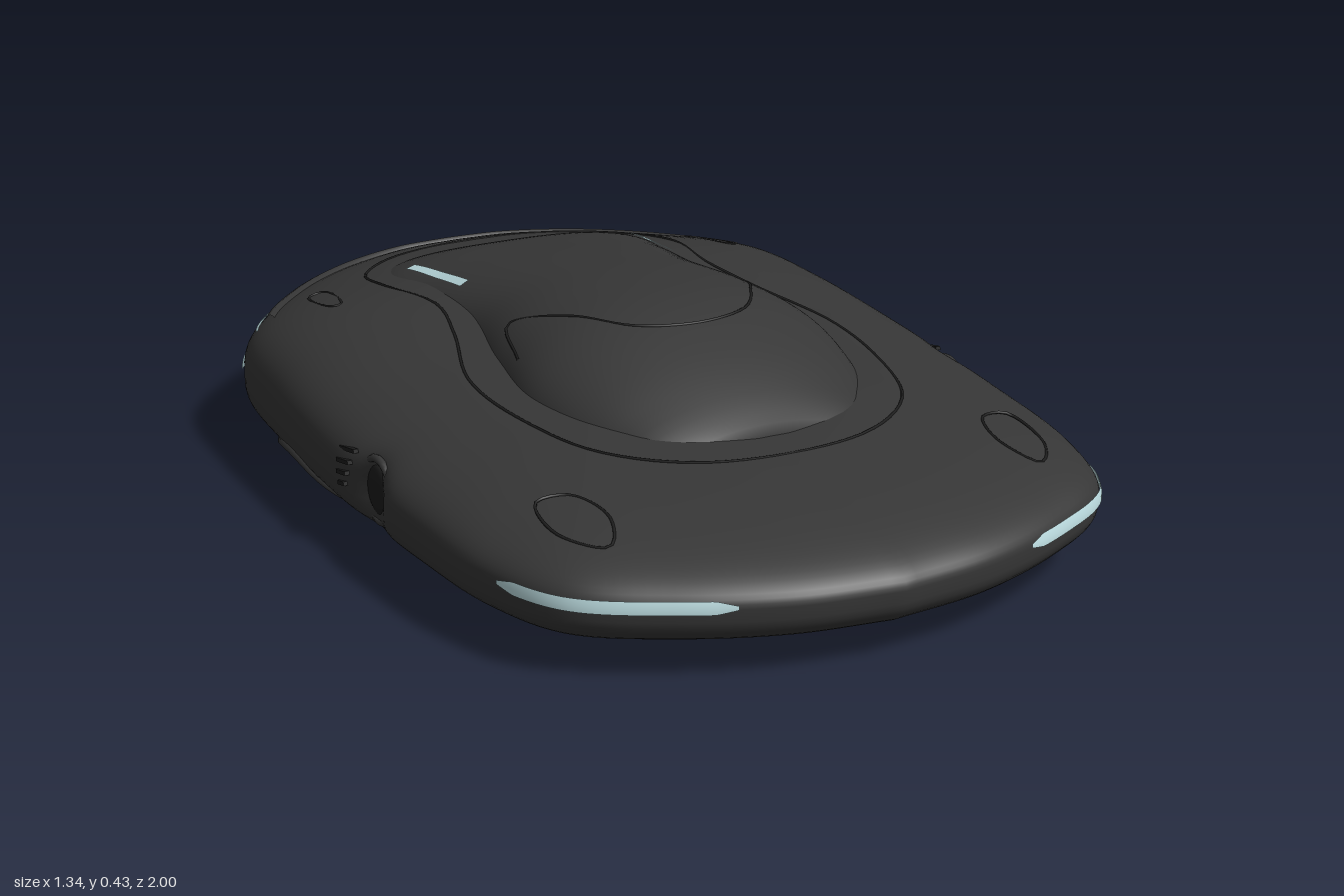
import * as THREE from 'three';

const material = (name, color, side = THREE.FrontSide) => {
  const m = new THREE.MeshStandardMaterial({ color, side });
  m.name = name;
  return m;
};
const paint = material('charcoal body', 0x363636);
const dark = material('dark seam', 0x1c1c1c);
const teal = material('teal thruster', 0x2a4a55);
const glow = material('pale light', 0xbcdce0, THREE.DoubleSide);

// Smooth interpolation through [position, value] pairs
function smooth(pairs) {
  const c = new THREE.CubicInterpolant(pairs.map(p => p[0]), pairs.map(p => p[1]), 1);
  return t => c.evaluate(t)[0];
}

// Quad grid from a rule; optionally closed in u
function grid(nu, nv, rule, closed = false) {
  const pos = [], index = [], cols = closed ? nu : nu + 1;
  for (let j = 0; j <= nv; j++)
    for (let i = 0; i < cols; i++) pos.push(...rule(i / nu, j / nv));
  for (let j = 0; j < nv; j++)
    for (let i = 0; i < nu; i++) {
      const a = j * cols + i, b = j * cols + (i + 1) % cols, c = a + cols, d = b + cols;
      index.push(a, c, b, b, c, d);
    }
  const g = new THREE.BufferGeometry();
  g.setAttribute('position', new THREE.Float32BufferAttribute(pos, 3));
  g.setIndex(index);
  g.computeVertexNormals();
  return g;
}

// Plan outline of the hull, as a radius for each heading
const half = [[0, 1], [.2, .97], [.4, .89], [.56, .78], [.63, .6], [.655, .35], [.665, 0],
  [.65, -.35], [.61, -.62], [.47, -.8], [.3, -.925], [.13, -.99], [0, -1]];
const outline = new THREE.CatmullRomCurve3(half.map(([x, z]) => new THREE.Vector3(x, 0, z))).getPoints(200);
function radius(angle) {
  const a = Math.abs(Math.atan2(Math.sin(angle), Math.cos(angle)));
  for (let i = 1; i < outline.length; i++) {
    const p = outline[i - 1], q = outline[i];
    const a0 = Math.atan2(p.x, p.z), a1 = Math.atan2(q.x, q.z);
    if (a <= a1) return THREE.MathUtils.lerp(p.length(), q.length(), (a - a0) / (a1 - a0));
  }
  return 1;
}

// Hull height rules
const WAIST = .14;
const rise = smooth([[-1, .2], [-.7, .2], [-.4, .212], [0, .182], [.5, .15], [1, .14]]);
const power = z => 2.5 - .4 * z;
const arc = (k, n) => Math.pow(Math.max(0, 1 - Math.pow(Math.min(1, k), n)), 1 / n);
const hullTop = (x, z) => WAIST + rise(z) * arc(Math.hypot(x, z) / radius(Math.atan2(x, z)), power(z));
function hullPoint(angle, y, out = 0) {
  const r = radius(angle), z = r * Math.cos(angle);
  const k = y > WAIST ? arc((y - WAIST) / rise(z), power(z)) : arc((WAIST - y) / .135, 3.2);
  return [Math.sin(angle) * (r * k + out), y, Math.cos(angle) * (r * k + out)];
}

// Cabin rules
const cabinWidth = smooth([[-.82, .05], [-.75, .22], [-.6, .33], [-.4, .32], [-.2, .3], [0, .33],
  [.2, .345], [.4, .28], [.5, .19], [.55, .05]]);
const cabinRoof = smooth([[-.82, .27], [-.6, .345], [-.4, .385], [-.2, .415], [0, .433],
  [.15, .428], [.3, .385], [.45, .32], [.55, .26]]);
const cabinPower = z => 2.3 - .8 * z;
const cabinTop = (x, z) => z < -.82 || z > .55 ? 0 :
  .24 + (cabinRoof(z) - .24) * arc(Math.abs(x) / cabinWidth(z), cabinPower(z));

export function createModel() {
  const model = new THREE.Group();
  const add = (name, geometry, mat, parent = model) => {
    const mesh = new THREE.Mesh(geometry, mat);
    mesh.name = name;
    parent.add(mesh);
    return mesh;
  };
  const tube = (name, points, r, mat, closed = false) => add(name, new THREE.TubeGeometry(
    new THREE.CatmullRomCurve3(points.map(p => new THREE.Vector3(...p)), closed), points.length * 6, r, 6, closed), mat);
  const seam = (name, plan, closed) => tube(name,
    plan.map(([x, z]) => [x, Math.max(hullTop(x, z), cabinTop(x, z)), z]), .003, dark, closed);

  // Hull, with a scooped intake in each flank
  add('hull', grid(240, 64, (u, v) => {
    const t = u * Math.PI * 2, a = v * Math.PI, k = Math.sin(a), r = radius(t) * k;
    let x = r * Math.sin(t);
    const z = r * Math.cos(t);
    const y = v <= .5 ? WAIST + rise(z) * arc(k, power(z)) : WAIST - .135 * arc(k, 3.2);
    if (Math.abs(x) > .4)
      x -= Math.sign(x) * .04 * Math.exp(-(((z - .14) / .06) ** 2) - ((y - .14) / .06) ** 2);
    return [x, y, z];
  }, true), paint);

  // Cabin dome
  add('cabin', grid(48, 60, (u, v) => {
    const z = -.82 + v * 1.37, x = -Math.cos(u * Math.PI) * cabinWidth(z);
    return [x, cabinTop(x, z), z];
  }), paint);

  // Light strips wrapped round the hull between two headings
  const strip = (name, from, to, y, h) => add(name, grid(50, 2, (u, v) => {
    const taper = Math.min(1, .3 + 8 * Math.min(u, 1 - u));
    return hullPoint(from + (to - from) * u, y + (.5 - v) * h * taper, .005);
  }), glow);
  strip('upper tail light', 2.36, Math.PI * 2 - 2.36, .232, .016);
  for (const s of [-1, 1]) {
    strip('headlight', s * .31, s * .77, .145, .024);
    strip('lower tail light', s * 2.36, s * 2.94, .148, .024);
  }

  // Tail lip above the light
  const lip = [];
  for (let i = 0; i <= 24; i++) lip.push(hullPoint(2.4 + i / 24 * (Math.PI * 2 - 4.8), .25, .002));
  tube('tail lip', lip, .01, paint);

  // Canopy surround and windscreen seams
  const ring = [[.2, -.77], [.32, -.65], [.34, -.5], [.31, -.3], [.34, -.15], [.4, .05], [.39, .25], [.32, .46]];
  seam('canopy surround', [[0, -.8], ...ring, [.15, .58], [-.15, .58],
    ...ring.map(([x, z]) => [-x, z]).reverse()], true);
  const brow = [[.12, .2], [.2, .08], [.27, -.05], [.31, .08]];
  seam('windscreen edge', [...brow.map(([x, z]) => [-x, z]).reverse(), [0, .235], ...brow]);

  for (const s of [-1, 1]) {
    // Cabin light
    add('cabin light', grid(2, 12, (u, v) => {
      const z = -.55 + v * .23, x = s * (.26 - .02 * v) + (u - .5) * .02;
      return [x, Math.max(cabinTop(x, z), hullTop(x, z)) + .005, z];
    }), glow);

    // Deck panel seams
    seam('rear vent', [[s * .43, -.62], [s * .46, -.62], [s * .47, -.47], [s * .455, -.46]], true);
    seam('front panel', [[s * .44, .56], [s * .5, .55], [s * .51, .66], [s * .45, .74], [s * .41, .66]], true);

    // Flank intake: ring, hub and slanted louvres
    const intake = new THREE.Group();
    intake.name = 'side intake';
    intake.position.set(s * .63, .143, .14);
    intake.rotation.y = s * Math.PI / 2;
    model.add(intake);
    add('intake ring', new THREE.TorusGeometry(.062, .008, 8, 36), paint, intake);
    add('intake hub', new THREE.SphereGeometry(.05, 24, 12).scale(1, 1, .25), dark, intake);
    for (let i = 0; i < 4; i++) {
      const y = .13 + i * .022;
      const louvre = add('louvre', new THREE.BoxGeometry(.01, .008, .03 + i * .014), dark);
      louvre.position.set(hullPoint(s * Math.PI / 2, y)[0] - s * .002, y, .04);
      louvre.rotation.x = -.2;
    }

    // Arched sill ridge behind the intake
    const sill = [];
    for (let i = 0; i <= 12; i++)
      sill.push(hullPoint(s * (1.65 + i * .047), .05 + .045 * Math.sin(i / 12 * Math.PI), -.002));
    tube('sill ridge', sill, .01, paint);

    // Hover thrusters under the floor
    for (const z of [.41, -.4]) {
      const pod = new THREE.Group();
      pod.name = 'thruster';
      pod.position.set(s * .37, 0, z);
      model.add(pod);
      add('thruster rim', new THREE.TorusGeometry(.148, .012, 8, 40).rotateX(Math.PI / 2), paint, pod).position.y = .018;
      add('thruster disc', new THREE.CylinderGeometry(.12, .12, .04, 40), teal, pod).position.y = .024;
      add('thruster core', new THREE.CylinderGeometry(.04, .03, .01, 8), glow, pod).position.y = .005;
    }
  }
  return model;
}
